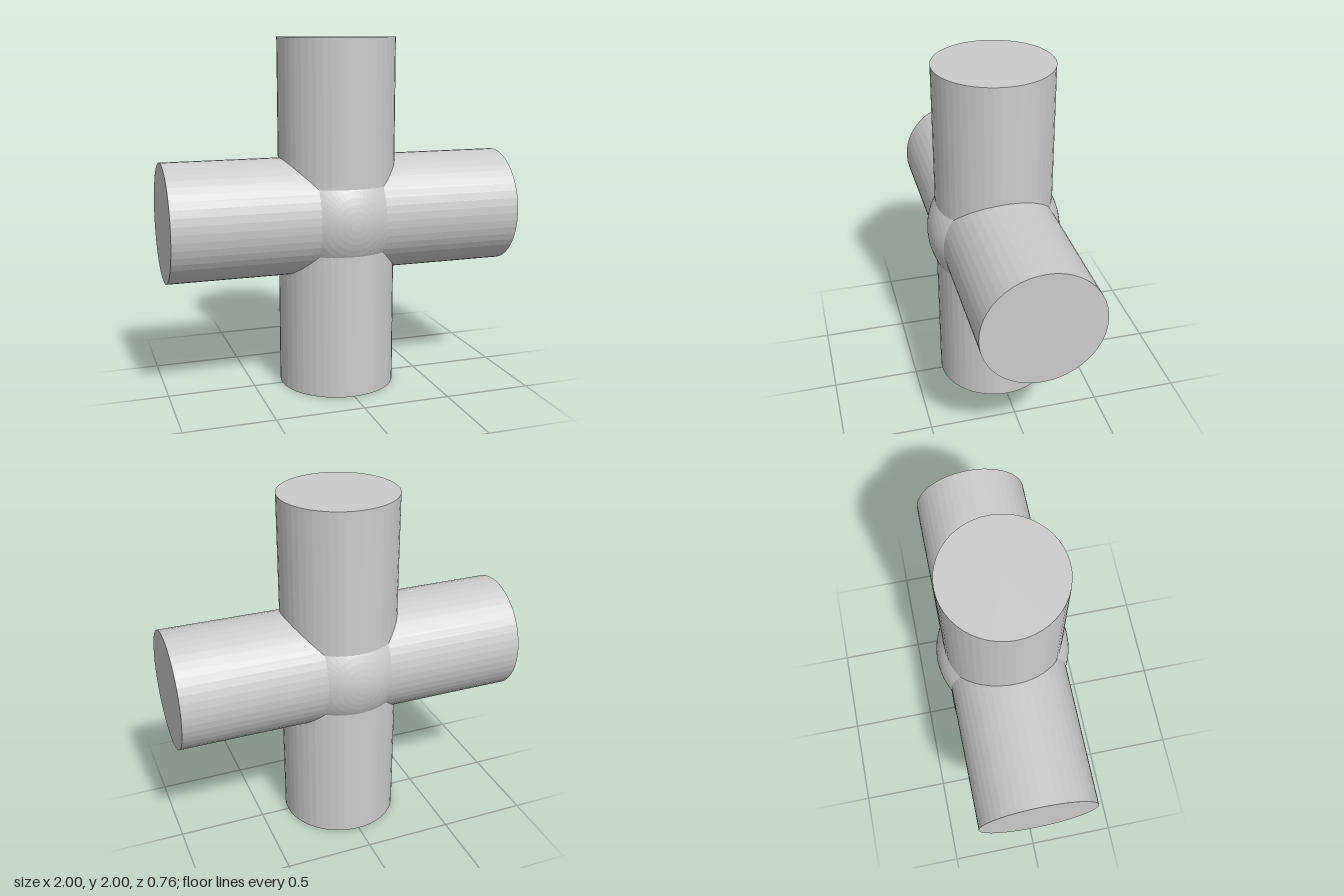
import * as THREE from 'three';

const PIPE_RADIUS = 0.333;
const HUB_RADIUS = 0.382;
const LENGTH = 2;

export function createModel() {
  const group = new THREE.Group();
  group.name = 'crossFitting';
  const material = new THREE.MeshStandardMaterial({ color: 0xcccccc, flatShading: true });

  const addPart = (name, geometry) => {
    const mesh = new THREE.Mesh(geometry, material);
    mesh.name = name;
    mesh.position.y = LENGTH / 2;
    group.add(mesh);
    return mesh;
  };

  // Two equal solid bars crossing at right angles
  const bar = new THREE.CylinderGeometry(PIPE_RADIUS, PIPE_RADIUS, LENGTH, 48);
  addPart('verticalBar', bar);
  addPart('horizontalBar', bar).rotation.z = Math.PI / 2;

  // Ball at the crossing, poles facing front and back, bulging out between the bars
  const ball = new THREE.SphereGeometry(HUB_RADIUS, 48, 32);
  addPart('centreBall', ball).rotation.x = Math.PI / 2;

  return group;
}
